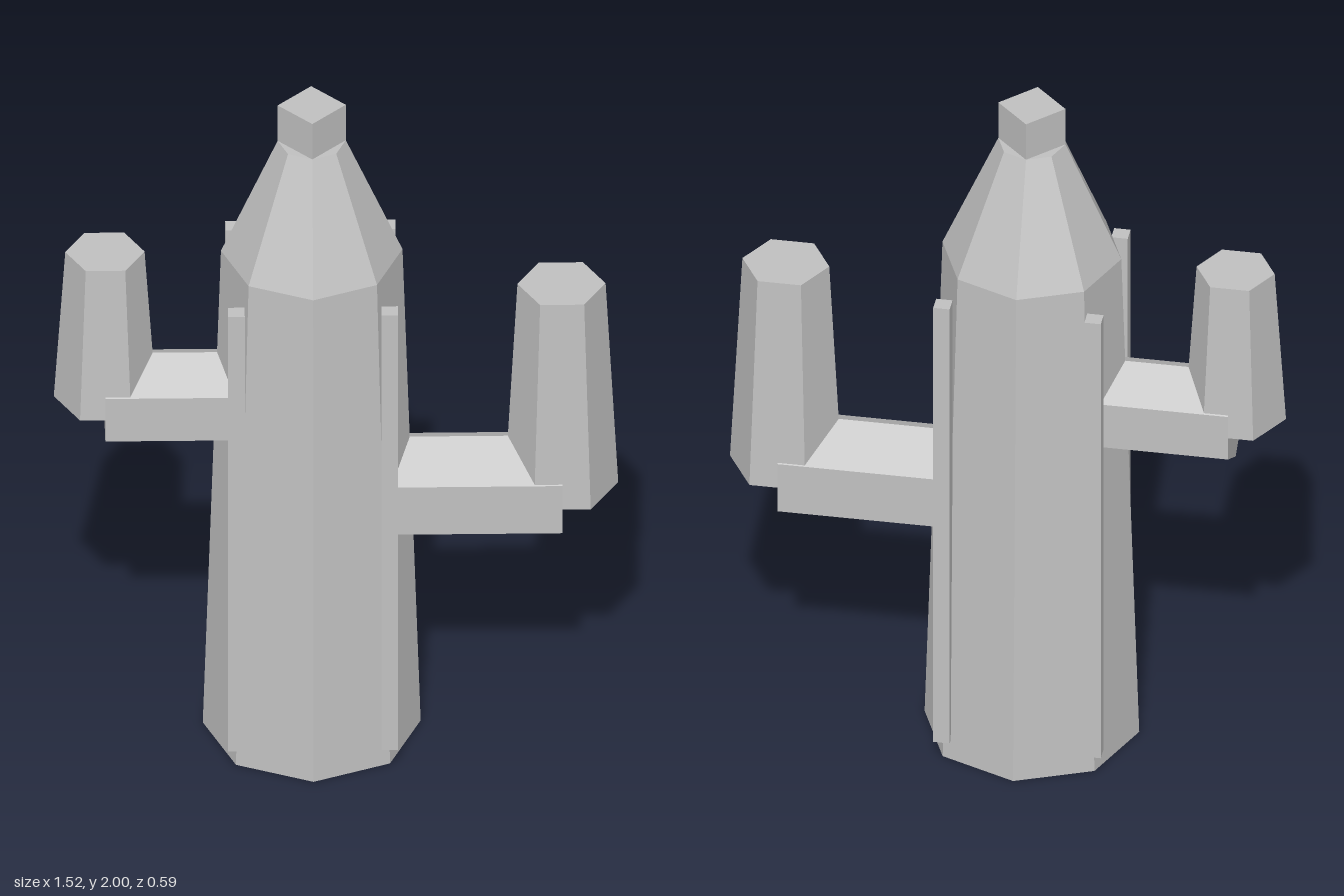
import * as THREE from 'three';

export function createModel() {
  const model = new THREE.Group();
  model.name = 'cactus';
  const grey = new THREE.MeshStandardMaterial({ color: 0xc0c0c0, flatShading: true });
  grey.name = 'plain grey';
  const trunkX = -0.067;

  const add = (name, geometry, x, y, z = 0, parent = model) => {
    const mesh = new THREE.Mesh(geometry, grey);
    mesh.name = name;
    mesh.position.set(x, y, z);
    parent.add(mesh);
  };
  // Upright faceted column between two heights
  const column = (name, x, y0, y1, r0, r1, sides, turn = 0, parent = model) =>
    add(name, new THREE.CylinderGeometry(r1, r0, y1 - y0, sides).rotateY(turn), x, (y0 + y1) / 2, 0, parent);

  // Trunk, tapering shoulder and square tip
  column('trunk', trunkX, 0, 1.53, 0.294, 0.245, 8);
  column('shoulder', trunkX, 1.53, 1.885, 0.245, 0.092, 8);
  column('tip', trunkX, 1.885, 2, 0.092, 0.092, 4);

  // Four upright ribs on the diagonal corners
  for (const sx of [-1, 1]) {
    for (const sz of [-1, 1]) {
      add('rib', new THREE.BoxGeometry(0.045, 1.41, 0.045), trunkX + sx * 0.207, 0.765, sz * 0.21);
    }
  }

  // Hexagonal arms: a level branch and an upright tapered end
  const arm = (name, endX, y, r, topY, topR) => {
    const group = new THREE.Group();
    group.name = name;
    model.add(group);
    const startX = trunkX + Math.sign(endX) * 0.12;
    const branch = new THREE.CylinderGeometry(r, r, Math.abs(endX - startX), 6)
      .rotateY(Math.PI / 2).rotateZ(Math.PI / 2);
    add('branch', branch, (startX + endX) / 2, y, 0, group);
    column('upright', endX, y, topY, r, topR, 6, Math.PI / 2, group);
  };
  arm('leftArm', 0.607, 0.768, 0.153, 1.413, 0.119);
  arm('rightArm', -0.625, 1.063, 0.138, 1.53, 0.107);

  return model;
}
